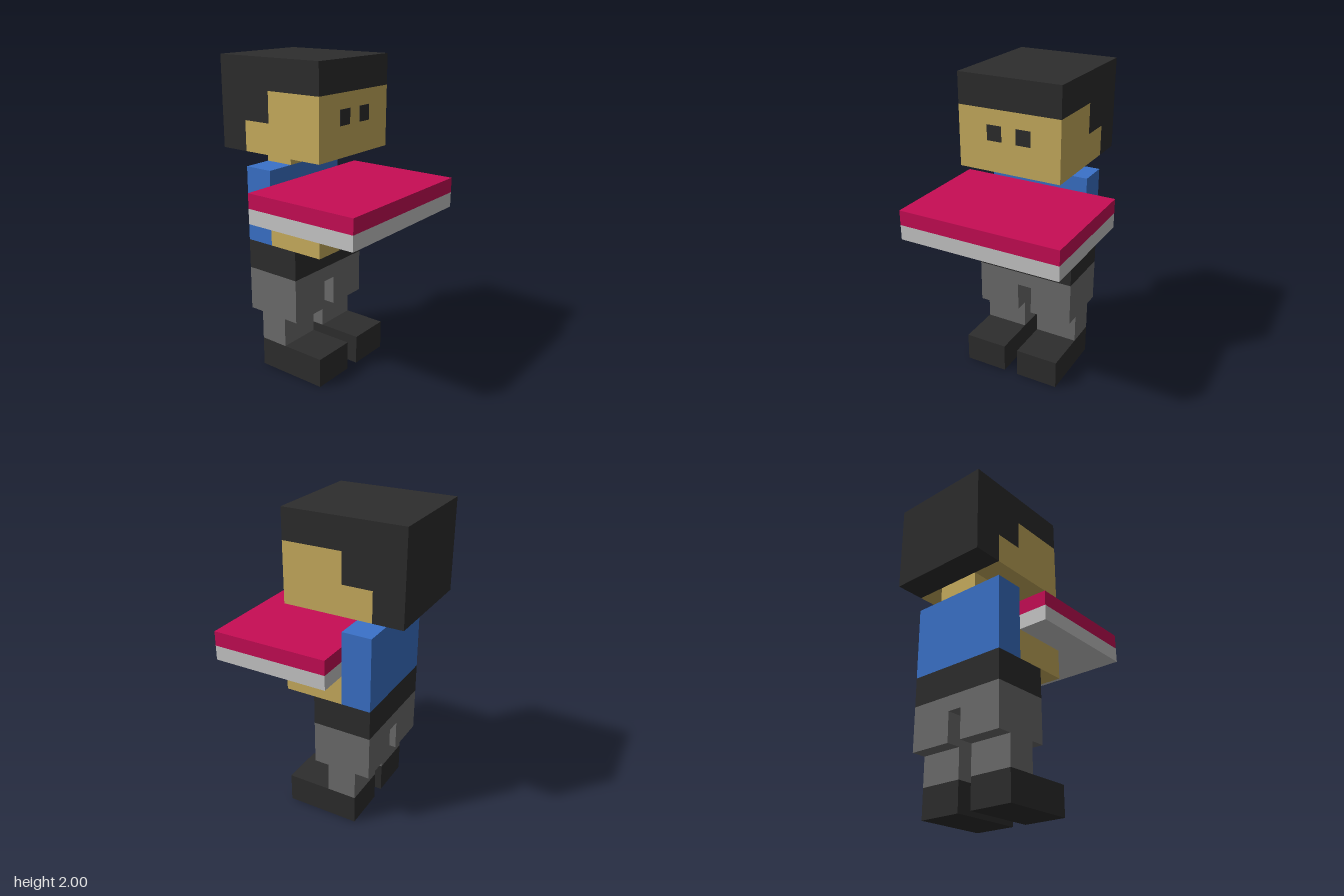
import * as THREE from 'three';

// One block of the grid; the figure is 21 blocks tall.
const U = 2 / 21;

const material = (name, color) => {
  const m = new THREE.MeshStandardMaterial({ color });
  m.name = name;
  return m;
};

export function createModel() {
  const dark = material('charcoal', 0x2d2d2d);
  const skin = material('tan skin', 0xc9ae5e);
  const blue = material('blue shirt', 0x3a72c9);
  const grey = material('grey trousers', 0x6c6c6c);
  const red = material('crimson', 0xc70d55);
  const pale = material('pale grey', 0xc8c8c8);

  const model = new THREE.Group();
  model.name = 'blockFigure';

  // Box between two extents on each axis, in blocks
  const block = (name, mat, [x0, x1], [y0, y1], [z0, z1], parent = model) => {
    const geo = new THREE.BoxGeometry((x1 - x0) * U, (y1 - y0) * U, (z1 - z0) * U);
    geo.translate((x0 + x1) / 2 * U, (y0 + y1) / 2 * U, (z0 + z1) / 2 * U);
    const mesh = new THREE.Mesh(geo, mat);
    mesh.name = name;
    parent.add(mesh);
    return mesh;
  };
  const group = (name) => {
    const g = new THREE.Group();
    g.name = name;
    model.add(g);
    return g;
  };
  const wide = [-3.5, 3.5];

  // Legs, arms and eyes, one set per side
  for (const [side, s] of [['left', 1], ['right', -1]]) {
    const span = (a, b) => (s > 0 ? [a, b] : [-b, -a]);
    const leg = group(side + 'Leg');
    block(side + 'Shoe', dark, span(0.5, 3.5), [0, 2], [-3, 2], leg);
    block(side + 'Shin', grey, span(0.5, 3.5), [2, 4], [-3, -1], leg);
    block(side + 'Thigh', grey, span(0.5, 3.5), [4, 6], [-4, 0], leg);
    block(side + 'Arm', skin, span(1.5, 3.5), [9, 11], [-2, 2]);
    block(side + 'Eye', dark, span(0.5, 1.5), [17, 18], [1.98, 2.03]);
  }

  // Hips, belt, torso and neck
  block('hips', grey, wide, [6, 7], [-4, 0]);
  block('belt', dark, wide, [7, 9], [-4, 0]);
  block('torso', blue, wide, [9, 14], [-4, -2]);
  block('neck', skin, [-1.5, 1.5], [14, 15], [-4, -2]);

  // Tray carried on the forearms
  const tray = group('tray');
  block('trayBase', pale, [-5.5, 5.5], [11, 12], [-2, 6], tray);
  block('trayTop', red, [-5.5, 5.5], [12, 13], [-2, 6], tray);

  // Head, stepped at the back to meet the hair
  const head = group('head');
  block('jaw', skin, wide, [15, 17], [-4, 2], head);
  block('face', skin, wide, [17, 19], [-2, 2], head);

  // Hair: cap, stepped sides and back
  const hair = group('hair');
  block('hairTop', dark, wide, [19, 21], [-6, 2], hair);
  block('hairSides', dark, wide, [17, 19], [-6, -2], hair);
  block('hairBack', dark, wide, [15, 17], [-6, -4], hair);

  return model;
}
